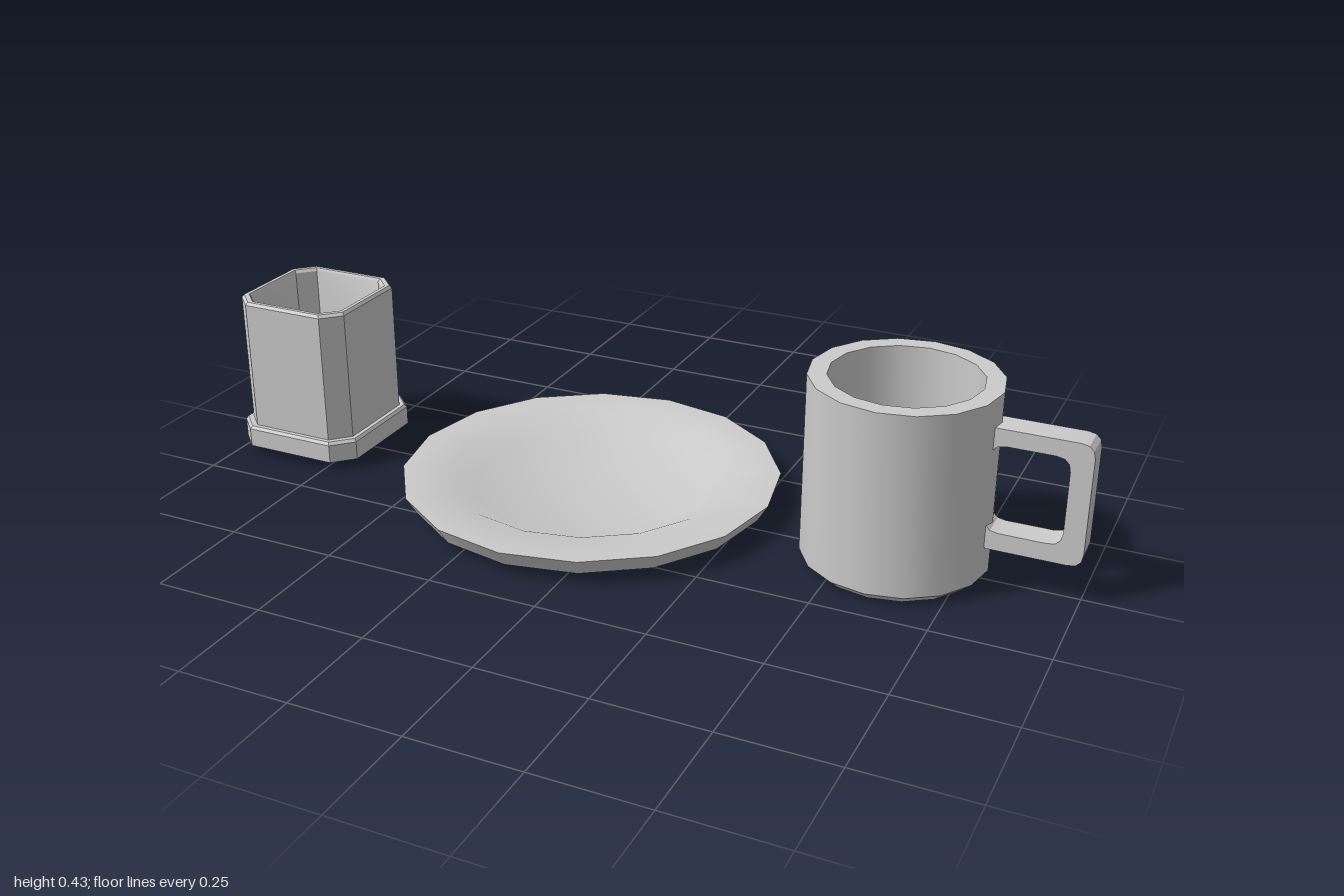
import * as THREE from 'three';
import { toCreasedNormals } from 'three/addons/utils/BufferGeometryUtils.js';

const material = new THREE.MeshStandardMaterial({ color: 0xcccccc });

function addMesh(parent, name, geometry, x) {
  const mesh = new THREE.Mesh(toCreasedNormals(geometry, Math.PI / 6), material);
  mesh.name = name;
  mesh.position.x = x;
  parent.add(mesh);
}

// Profile of [radius, height] pairs, from the underside round to the inner floor
function turned(profile, sides, start = 0) {
  return new THREE.LatheGeometry(profile.map(([r, y]) => new THREE.Vector2(r, y)), sides, start);
}

// Turned in eight sides, then squared off so the radius becomes half the width
function squared(profile) {
  const geometry = turned(profile, 8, Math.PI / 8);
  const pos = geometry.attributes.position;
  for (let i = 0; i < pos.count; i++) {
    const x = pos.getX(i), z = pos.getZ(i);
    const half = Math.hypot(x, z), wideX = Math.abs(x) > Math.abs(z);
    pos.setX(i, Math.sign(x) * half * (wideX ? 1 : 0.71));
    pos.setZ(i, Math.sign(z) * half * (wideX ? 0.71 : 1));
  }
  return geometry;
}

// Rounded rectangle outline
function roundRect(path, x0, y0, x1, y1, r) {
  path.moveTo(x0 + r, y0);
  path.lineTo(x1 - r, y0);
  path.quadraticCurveTo(x1, y0, x1, y0 + r);
  path.lineTo(x1, y1 - r);
  path.quadraticCurveTo(x1, y1, x1 - r, y1);
  path.lineTo(x0 + r, y1);
  path.quadraticCurveTo(x0, y1, x0, y1 - r);
  path.lineTo(x0, y0 + r);
  path.quadraticCurveTo(x0, y0, x0 + r, y0);
  return path;
}

export function createModel() {
  const model = new THREE.Group();
  model.name = 'tableware';

  // Square tumbler with a stepped foot
  addMesh(model, 'squareTumbler', squared([
    [0, 0.022], [0.158, 0.022], [0.158, 0.066], [0.153, 0.073], [0.143, 0.073],
    [0.143, 0.378], [0.138, 0.385], [0.129, 0.385], [0.125, 0.378],
    [0.122, 0.06], [0, 0.06],
  ]), -0.842);

  // Shallow plate with a flat rim and sunken well
  addMesh(model, 'plate', turned([
    [0, 0.022], [0.408, 0.022], [0.432, 0.062], [0.325, 0.062], [0.27, 0.035], [0, 0.035],
  ], 16), -0.12);

  // Mug
  const mug = new THREE.Group();
  mug.name = 'mug';
  mug.position.x = 0.602;
  model.add(mug);
  addMesh(mug, 'mugBody', turned([
    [0, 0], [0.178, 0], [0.203, 0.022], [0.203, 0.427], [0.162, 0.427], [0.162, 0.045], [0, 0.045],
  ], 16), 0);

  // Handle loop, its inner side sunk into the mug wall
  const outline = roundRect(new THREE.Shape(), 0.172, 0.089, 0.398, 0.362, 0.03);
  outline.holes.push(roundRect(new THREE.Path(), 0.192, 0.129, 0.353, 0.325, 0.03));
  const handle = new THREE.ExtrudeGeometry(outline, { depth: 0.064, bevelEnabled: false, curveSegments: 3 });
  handle.translate(0, 0, -0.032);
  addMesh(mug, 'mugHandle', handle, 0);

  return model;
}
